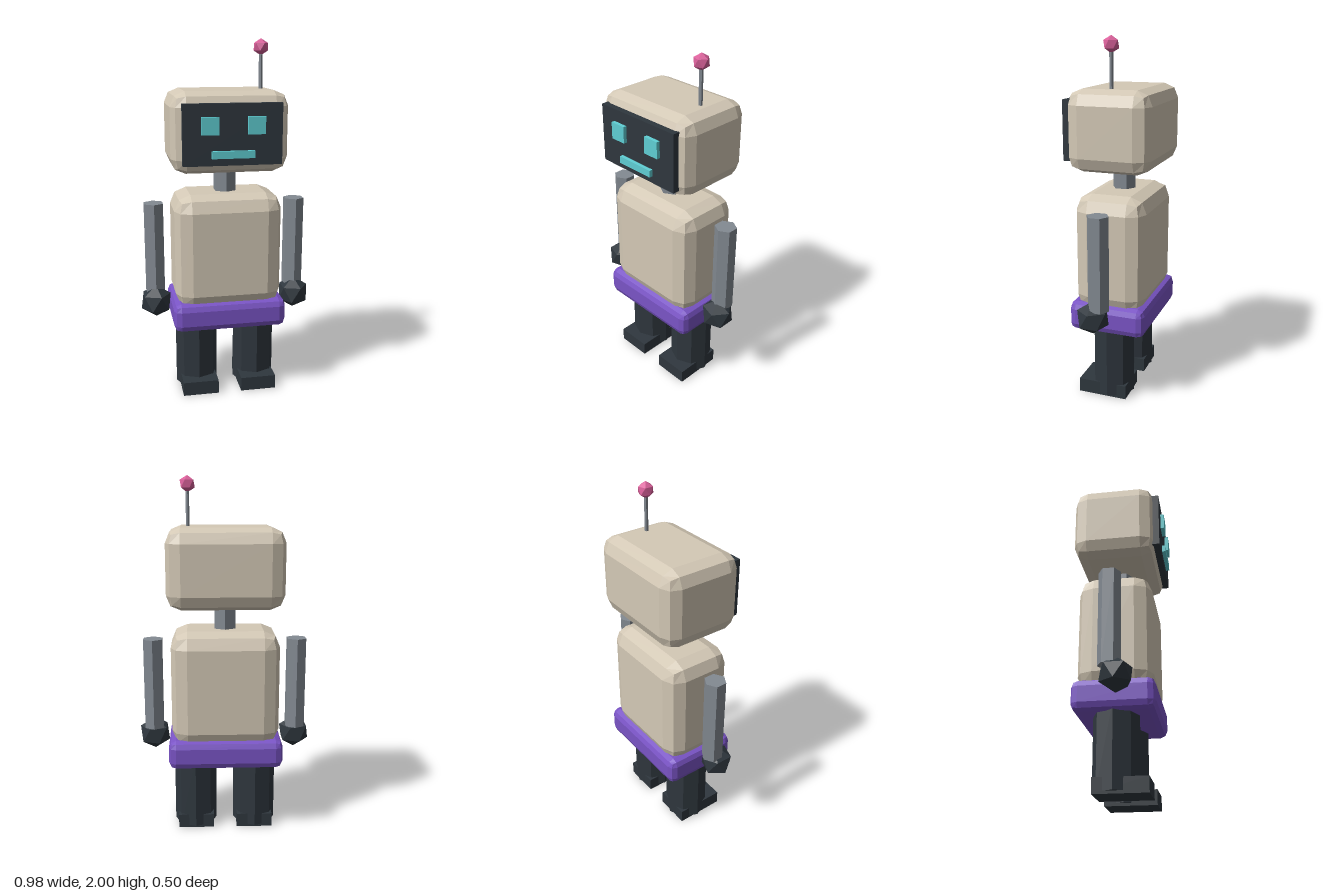
import * as THREE from 'three';
import { RoundedBoxGeometry } from 'three/addons/geometries/RoundedBoxGeometry.js';

const MID_Z = -0.018; // depth of the body axis

function material(name, color) {
  const m = new THREE.MeshStandardMaterial({ color });
  m.name = name;
  return m;
}

// Give every face its own normal for a faceted look
function faceted(geometry) {
  const g = geometry.index ? geometry.toNonIndexed() : geometry;
  g.computeVertexNormals();
  return g;
}

// Box with a two-step bevel
function bevelBox(w, h, d, bevel) {
  return faceted(new RoundedBoxGeometry(w, h, d, 1, bevel));
}

function prism(radius, height, sides) {
  return faceted(new THREE.CylinderGeometry(radius, radius, height, sides));
}

// Icosahedron standing on a corner, with an upper ring corner towards +x
function ball(radius) {
  const g = new THREE.IcosahedronGeometry(radius, 0);
  g.rotateX(-Math.atan((1 + Math.sqrt(5)) / 2));
  g.rotateY(Math.PI / 2);
  return faceted(g);
}

export function createModel() {
  const robot = new THREE.Group();
  robot.name = 'robot';

  const shell = material('beige shell', 0xd4c9b6);
  const metal = material('grey metal', 0x838a92);
  const dark = material('dark charcoal', 0x2f373e);
  const purple = material('purple', 0x7a54c6);
  const glow = material('cyan', 0x5fcfd4);
  const pink = material('pink', 0xd9609a);

  function add(name, geometry, mat, x, y, z = MID_Z) {
    const mesh = new THREE.Mesh(geometry, mat);
    mesh.name = name;
    mesh.position.set(x, y, z);
    robot.add(mesh);
    return mesh;
  }

  // Body
  add('torso', bevelBox(0.6, 0.655, 0.4, 0.09), shell, 0, 0.8475);
  add('pelvis', bevelBox(0.636, 0.164, 0.434, 0.04), purple, 0, 0.487);
  add('neck', prism(0.066, 0.2, 6), metal, 0, 1.24);

  // Head and face
  add('head', bevelBox(0.636, 0.434, 0.46, 0.08), shell, 0, 1.517, -0.022);
  add('facePanel', new THREE.BoxGeometry(0.528, 0.322, 0.04), dark, 0, 1.516, 0.212);
  add('mouth', new THREE.BoxGeometry(0.228, 0.039, 0.022), glow, 0, 1.414, 0.241);

  // Antenna
  add('antennaRod', prism(0.011, 0.24, 6), metal, 0.2, 1.82);
  add('antennaTip', ball(0.045), pink, 0.2, 1.955);

  // Paired parts
  for (const [side, s] of [['left', 1], ['right', -1]]) {
    add(side + 'Eye', new THREE.BoxGeometry(0.092, 0.092, 0.022), glow, s * 0.123, 1.564, 0.241);
    add(side + 'Arm', prism(0.06, 0.52, 6), metal, s * 0.405, 0.853);
    add(side + 'Hand', ball(0.094), dark, s * 0.405, 0.545, 0.015);
    add(side + 'Leg', prism(0.121, 0.43, 8), dark, s * 0.171, 0.23);
    add(side + 'Foot', new THREE.BoxGeometry(0.204, 0.08, 0.28), dark, s * 0.169, 0.04, 0.018);
  }

  return robot;
}
